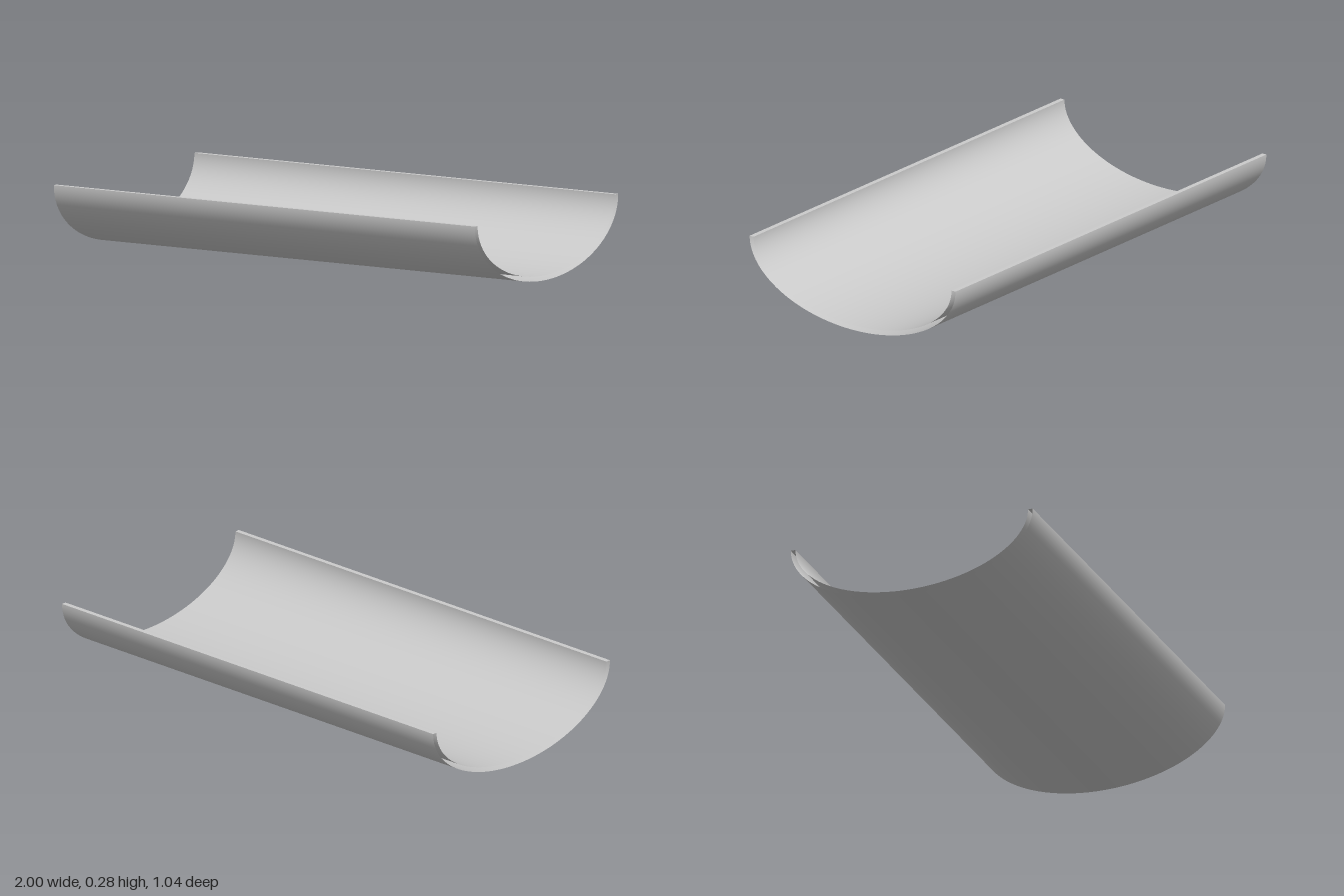
import * as THREE from 'three';

const LENGTH = 2, HEIGHT = 0.28, HALF_DEPTH = 0.52, WALL = 0.02;

// Lower half of an elliptical tube lying along x, open at both ends
function troughSheet(height, halfDepth) {
  return new THREE.CylinderGeometry(1, 1, LENGTH, 64, 1, true, 0, Math.PI)
    .rotateZ(-Math.PI / 2)
    .scale(1, height, halfDepth)
    .translate(0, HEIGHT, 0);
}

export function createModel() {
  const model = new THREE.Group();
  model.name = 'trough';
  const material = new THREE.MeshStandardMaterial({ color: 0xcccccc, side: THREE.DoubleSide });
  const add = (name, geometry) => {
    const mesh = new THREE.Mesh(geometry, material);
    mesh.name = name;
    model.add(mesh);
  };

  // Outer and inner skins of the thin wall
  add('outerShell', troughSheet(HEIGHT, HALF_DEPTH));
  add('innerShell', troughSheet(HEIGHT - WALL, HALF_DEPTH - WALL));

  // Flat rims joining the two skins along the long edges
  for (const [name, side] of [['frontRim', 1], ['backRim', -1]]) {
    add(name, new THREE.PlaneGeometry(LENGTH, WALL)
      .rotateX(-Math.PI / 2)
      .translate(0, HEIGHT, side * (HALF_DEPTH - WALL / 2)));
  }
  return model;
}
